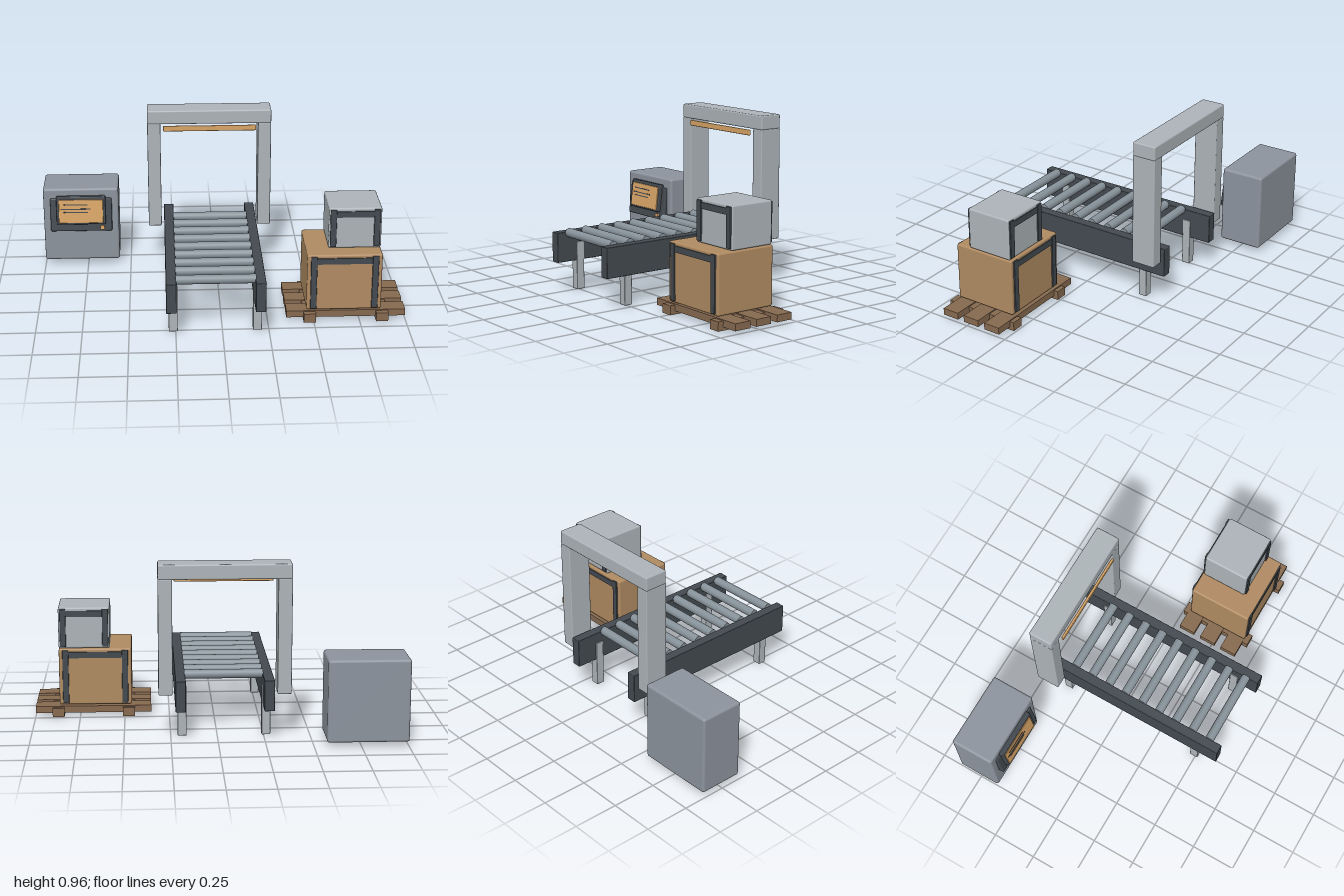
import * as THREE from 'three';
import { RoundedBoxGeometry } from 'three/addons/geometries/RoundedBoxGeometry.js';

const mat = (color) => new THREE.MeshStandardMaterial({ color });
const steel = mat(0xadb4b9), cabinetGrey = mat(0x8d949e), rollerGrey = mat(0x87929a);
const dark = mat(0x434a50), amber = mat(0xd9a566), wood = mat(0x876a50), card = mat(0xb08b62);

// Box given by its extents; r > 0 rounds the edges
function box(parent, name, material, [x0, x1], [y0, y1], [z0, z1], r = 0) {
  const w = x1 - x0, h = y1 - y0, d = z1 - z0;
  const geo = r ? new RoundedBoxGeometry(w, h, d, 2, r) : new THREE.BoxGeometry(w, h, d);
  const mesh = new THREE.Mesh(geo, material);
  mesh.name = name;
  mesh.position.set((x0 + x1) / 2, (y0 + y1) / 2, (z0 + z1) / 2);
  parent.add(mesh);
  return mesh;
}

function group(parent, name) {
  const g = new THREE.Group();
  g.name = name;
  parent.add(g);
  return g;
}

function addConveyor(root) {
  const g = group(root, 'conveyor');
  const cx = -0.0375;
  for (const s of [-1, 1]) {
    const span = (a, b) => [cx + s * a, cx + s * b].sort((p, q) => p - q);
    box(g, 'sideRail', dark, span(0.208, 0.263), [0.165, 0.332], [-0.488, 0.635], 0.004);
    for (const z of [-0.343, 0.49])
      box(g, 'leg', steel, span(0.202, 0.25), [0, 0.27], [z - 0.024, z + 0.024], 0.004);
  }
  // Row of rollers between the rails
  const rollerGeo = new THREE.CylinderGeometry(0.025, 0.025, 0.425, 20).rotateZ(Math.PI / 2);
  for (let i = 0; i < 9; i++) {
    const roller = new THREE.Mesh(rollerGeo, rollerGrey);
    roller.name = 'roller';
    roller.position.set(cx, 0.326, 0.558 - i * 0.1077);
    g.add(roller);
  }
}

function addGate(root) {
  const g = group(root, 'scannerGate');
  const z = [-0.475, -0.34];
  box(g, 'post', steel, [-0.39, -0.315], [0.255, 0.88], z, 0.006);
  box(g, 'post', steel, [0.24, 0.315], [0.255, 0.88], z, 0.006);
  box(g, 'beam', steel, [-0.39, 0.315], [0.876, 0.956], z, 0.008);
  box(g, 'lightBar', amber, [-0.3, 0.228], [0.839, 0.871], [-0.336, -0.323], 0.005);
}

function addCabinet(root) {
  const g = group(root, 'controlCabinet');
  box(g, 'cabinet', cabinetGrey, [-1, -0.565], [0.03, 0.476], [-0.633, -0.384], 0.014);

  // Slightly reclined control panel
  const panel = group(g, 'controlPanel');
  panel.position.set(-0.782, 0.32, -0.385);
  panel.rotation.x = -0.12;
  box(panel, 'panelPlate', dark, [-0.178, 0.178], [-0.1, 0.097], [-0.015, 0.022], 0.008);
  box(panel, 'screenBezel', dark, [-0.142, 0.142], [-0.055, 0.113], [0, 0.04], 0.006);
  box(panel, 'screen', amber, [-0.128, 0.128], [-0.045, 0.095], [0.03, 0.045], 0.004);
  [[0.07, 0.065], [0.086, 0.039], [0.07, 0.02]].forEach(([half, y]) =>
    box(panel, 'screenLine', dark, [-half - 0.03, half - 0.03], [y - 0.003, y + 0.003], [0.04, 0.047]));
  const knob = new THREE.Mesh(new THREE.CylinderGeometry(0.013, 0.013, 0.016, 16).rotateX(Math.PI / 2), amber);
  knob.name = 'knob';
  knob.position.set(0.122, -0.077, 0.026);
  panel.add(knob);
}

// Carton with dark strapping frames on its front and back
function addCarton(root, name, material, [x0, x1], [y0, y1], [z0, z1], inset) {
  const g = group(root, name);
  box(g, 'carton', material, [x0, x1], [y0, y1], [z0, z1], 0.01);
  const a = x0 + inset, b = x1 - inset, w = 0.034;
  for (const z of [z0, z1]) {
    const depth = [z - 0.008, z + 0.008];
    box(g, 'strap', dark, [a, a + w], [y0 + 0.01, y1 - 0.008], depth, 0.003);
    box(g, 'strap', dark, [b - w, b], [y0 + 0.01, y1 - 0.008], depth, 0.003);
    box(g, 'crossStrap', dark, [a + w, b - w], [y1 - 0.052, y1 - 0.018], [z - 0.006, z + 0.006]);
  }
}

function addPallet(root) {
  const g = group(root, 'pallet');
  for (const z of [0.085, 0.222, 0.358])
    box(g, 'slat', wood, [0.352, 1], [0.018, 0.056], [z - 0.048, z + 0.048]);
  for (const x of [0.478, 0.872])
    box(g, 'runner', wood, [x - 0.033, x + 0.033], [0, 0.05], [0.012, 0.438]);
}

export function createModel() {
  const root = new THREE.Group();
  root.name = 'parcelStation';
  addConveyor(root);
  addGate(root);
  addCabinet(root);
  addPallet(root);
  addCarton(root, 'largeCarton', card, [0.46, 0.866], [0.062, 0.384], [0.048, 0.408], 0.02);
  addCarton(root, 'smallCarton', steel, [0.58, 0.866], [0.386, 0.618], [0.057, 0.32], 0.008);
  return root;
}
